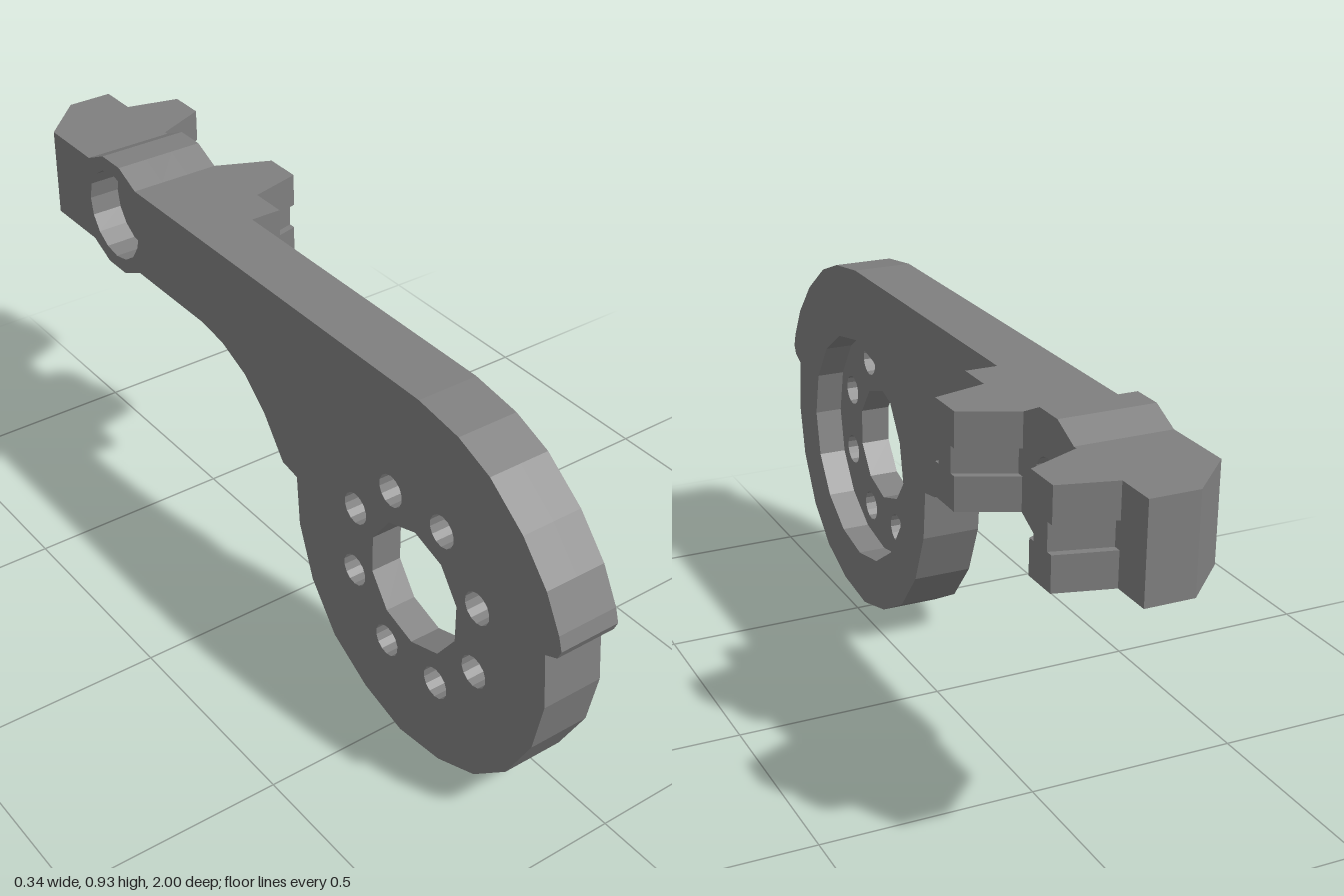
import * as THREE from 'three';

const steel = new THREE.MeshStandardMaterial({ color: 0x7f7f7f });
steel.name = 'grey steel';

// Regular polygon in side coordinates [z, y], first corner at the top
function ring(z, y, r, sides) {
  return Array.from({ length: sides }, (_, i) => {
    const a = Math.PI / 2 + (i * 2 * Math.PI) / sides;
    return [z + r * Math.cos(a), y + r * Math.sin(a)];
  });
}

function extrude(points, holes, depth) {
  const vec = (list) => list.map(([u, v]) => new THREE.Vector2(u, v));
  const shape = new THREE.Shape(vec(points));
  shape.holes = holes.map((h) => new THREE.Path(vec(h)));
  return new THREE.ExtrudeGeometry(shape, { depth, bevelEnabled: false });
}

// Side outline [z, y] made solid from x0 to x1
function sidePlate(name, outline, holes, x0, x1) {
  const flip = (list) => list.map(([z, y]) => [-z, y]);
  const geo = extrude(flip(outline), holes.map(flip), x1 - x0);
  geo.rotateY(Math.PI / 2).translate(x0, 0, 0);
  const mesh = new THREE.Mesh(geo, steel);
  mesh.name = name;
  return mesh;
}

// Plan outline [x, z] made solid from y0 to y1
function planBlock(name, outline, y0, y1) {
  const geo = extrude(outline.map(([x, z]) => [x, -z]), [], y1 - y0);
  geo.rotateX(-Math.PI / 2).translate(0, y0, 0);
  const mesh = new THREE.Mesh(geo, steel);
  mesh.name = name;
  return mesh;
}

export function createModel() {
  const group = new THREE.Group();
  group.name = 'leverArm';

  const BACK = -0.175, MID = -0.1, FACE = -0.03, HEAD = 0.045, TIP = 0.17;
  const LOW = 0.678, HIGH = 0.895;
  const hub = [0.553, 0.423], pivot = [-0.615, 0.786];

  // Head edges with the rounded pivot boss bulging above and below
  const headBottom = [[-0.24, LOW], [-0.51, LOW], [-0.578, 0.645], [-0.652, 0.645], [-0.72, LOW], [-0.89, LOW]];
  const headTop = [[-0.89, HIGH], [-0.72, HIGH], [-0.652, 0.927], [-0.578, 0.927], [-0.51, HIGH]];

  // Round hub with a lip at the front and a curved neck behind
  const armOutline = [
    [0.551, HIGH], [0.674, 0.877], [0.77, 0.84], [0.872, 0.765], [0.947, 0.68], [0.99, 0.6],
    [1, 0.567], [0.99, 0.545], [0.957, 0.53], [0.968, 0.4], [0.941, 0.273], [0.872, 0.15],
    [0.775, 0.064], [0.658, 0.016], [0.524, 0], [0.396, 0.035], [0.278, 0.102], [0.193, 0.209],
    [0.144, 0.337], [0.134, 0.46], [0.08, 0.47], [0.011, 0.561], [-0.064, 0.626], [-0.155, 0.665],
    ...headBottom, ...headTop,
  ];

  // Hub bore and its circle of bolt holes
  const hubHoles = [ring(...hub, 0.147, 10)];
  for (let i = 0; i < 8; i++) {
    const a = ((i + 0.5) * Math.PI) / 4;
    hubHoles.push(ring(hub[0] + 0.219 * Math.cos(a), hub[1] + 0.219 * Math.sin(a), 0.038, 14));
  }
  const pivotBore = ring(...pivot, 0.048, 16);
  const counterbore = ring(...pivot, 0.11, 16);

  group.add(sidePlate('armBackLayer', armOutline, [...hubHoles, counterbore], BACK, MID));
  group.add(sidePlate('armFrontLayer', armOutline, [ring(...hub, 0.292, 16), pivotBore], MID, FACE));
  group.add(sidePlate('headPad', [...headBottom, ...headTop, [-0.24, HIGH]], [pivotBore], FACE, HEAD));

  // Chamfered end of the head
  group.add(planBlock('headEnd', [[BACK, -0.89], [HEAD, -0.89], [HEAD, -1], [-0.065, -1]], LOW, HIGH));

  // Two teeth, each with a shallow groove along both flanks
  const teeth = [[-0.33, -0.362, -0.453, -0.51], [-0.73, -0.785, -0.873, -0.905]];
  teeth.forEach(([a, b, c, d], i) => {
    const tooth = new THREE.Group();
    tooth.name = i ? 'rearTooth' : 'frontTooth';
    const slab = (name, inset, y0, y1) => tooth.add(planBlock(name, [
      [HEAD, a - inset], [TIP, b - inset], [TIP, c + inset], [HEAD, d + inset],
    ], y0, y1));
    slab('toothLower', 0, LOW, 0.756);
    slab('toothGroove', 0.017, 0.756, 0.816);
    slab('toothUpper', 0, 0.816, HIGH);
    group.add(tooth);
  });

  return group;
}
